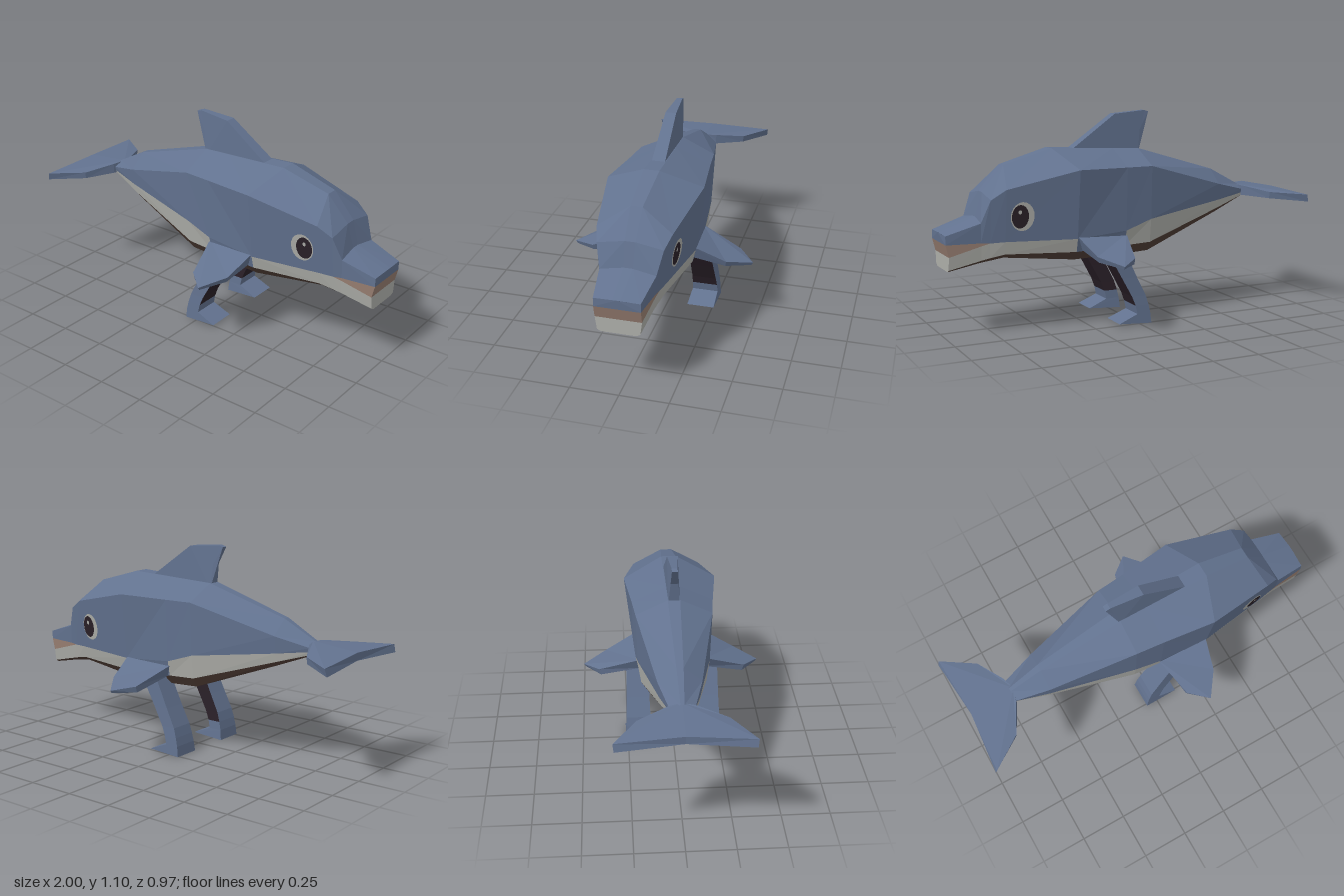
import * as THREE from 'three';

const mat = (name, color) => {
  const m = new THREE.MeshStandardMaterial({ color });
  m.name = name;
  return m;
};

// Flat-faced mesh from convex polygons; each face is turned away from its centre point
function facesMesh(name, material, faces) {
  const pos = [];
  for (const { pts, c } of faces) {
    const v = pts.map(p => new THREE.Vector3(...p));
    const centre = new THREE.Vector3(...c);
    for (let i = 1; i < v.length - 1; i++) {
      const [a, b, d] = [v[0], v[i], v[i + 1]];
      const n = b.clone().sub(a).cross(d.clone().sub(a));
      if (n.length() < 1e-7) continue;
      const out = n.dot(a.clone().add(b).add(d).divideScalar(3).sub(centre)) > 0;
      for (const p of out ? [a, b, d] : [a, d, b]) pos.push(p.x, p.y, p.z);
    }
  }
  const g = new THREE.BufferGeometry();
  g.setAttribute('position', new THREE.Float32BufferAttribute(pos, 3));
  g.computeVertexNormals();
  const mesh = new THREE.Mesh(g, material);
  mesh.name = name;
  return mesh;
}

const mean = pts => [0, 1, 2].map(k => pts.reduce((s, p) => s + p[k], 0) / pts.length);
const flip = (pts, s) => pts.map(([x, y, z]) => [x, y, z * s]);

// Closed solid between two matching outlines
function slab(name, material, a, b) {
  const c = mean([...a, ...b]);
  const faces = [{ pts: a, c }, { pts: b, c }];
  a.forEach((p, i) => {
    const j = (i + 1) % a.length;
    faces.push({ pts: [p, a[j], b[j], b[i]], c });
  });
  return facesMesh(name, material, faces);
}

// Half section of the body: ridge, shoulder, belt, lip, chine and belly, closed on the centre line
function section([x, ridgeX, ridgeY, shoulderY, shoulderZ, beltY, beltZ, lipDrop, chineY, bellyY]) {
  const jawX = x - lipDrop * .25;
  return [
    [ridgeX, ridgeY, 0], [ridgeX, ridgeY, shoulderZ * .16],
    [x, shoulderY, shoulderZ], [x, beltY, beltZ], [jawX, beltY - lipDrop, beltZ],
    [jawX, chineY, beltZ * .92], [jawX, bellyY, beltZ * .75], [jawX, bellyY, 0],
  ];
}

export function createModel() {
  const root = new THREE.Group();
  root.name = 'dolphinWithLegs';
  const blue = mat('slate blue skin', 0x62728f);
  const pale = mat('pale grey flank', 0xadaea9);
  const brown = mat('brown belly', 0x4f3d35);
  const dark = mat('dark plum', 0x2a2028);
  const mouth = mat('mouth pink brown', 0x967d70);

  // Body sections from tail to snout
  const rings = [
    [-.74, -.74, .67, .645, .06, .625, .055, 0, .61, .605],
    [-.56, -.56, .765, .69, .11, .6, .1, 0, .555, .535],
    [-.1, -.1, .9, .82, .2, .54, .19, 0, .415, .365],
    [.05, .05, .906, .821, .215, .49, .2, 0, .41, .36],
    [.33, .4, .92, .825, .25, .47, .21, 0, .4, .355],
    [.7, .66, .845, .74, .188, .475, .158, 0, .41, .39],
    [.775, .775, .715, .69, .165, .472, .143, 0, .395, .377],
    [.82, .81, .592, .575, .14, .475, .135, .015, .385, .37],
    [.995, 1, .525, .52, .115, .475, .115, .063, .345, .335],
  ].map(section);
  const strips = [blue, blue, blue, mouth, pale, brown, brown];
  const bucket = new Map([[blue, []], [pale, []], [brown, []], [mouth, []]]);
  for (const s of [1, -1]) {
    for (let i = 0; i < rings.length - 1; i++) {
      const a = flip(rings[i], s), b = flip(rings[i + 1], s);
      const c = mean([...a, ...b]);
      c[2] = 0;
      strips.forEach((m, k) => {
        const use = m === pale && i === 3 ? blue : m; // blue patch behind the flipper
        bucket.get(use).push({ pts: [a[k], a[k + 1], b[k + 1], b[k]], c });
      });
    }
    // Snout front, split at the lips
    const t = flip(rings[rings.length - 1], s), c = [.8, .45, 0];
    const mid = p => [p[0], p[1], 0];
    bucket.get(blue).push({ pts: [t[0], t[1], t[2], t[3], mid(t[3])], c });
    bucket.get(mouth).push({ pts: [mid(t[3]), t[3], t[4], mid(t[4])], c });
    bucket.get(pale).push({ pts: [mid(t[4]), t[4], t[5], t[6], t[7]], c });
  }
  root.add(facesMesh('bodySkin', blue, bucket.get(blue)));
  root.add(facesMesh('flankAndJaw', pale, bucket.get(pale)));
  root.add(facesMesh('belly', brown, bucket.get(brown)));
  root.add(facesMesh('mouth', mouth, bucket.get(mouth)));

  // Dorsal fin, tapering upward
  const fin = [[-.1, .87, .03], [.31, .89, .035], [.035, 1.085, .028], [-.145, 1.1, .015], [-.17, 1.092, .015], [-.115, 1, .025]];
  root.add(slab('dorsalFin', blue, fin, flip(fin, -1)));

  for (const s of [1, -1]) {
    const side = s > 0 ? 'Right' : 'Left';
    const add = (name, m, a, b) => root.add(slab(name + side, m, flip(a, s), flip(b, s)));

    // Tail fluke
    add('tailFluke', blue,
      [[-.72, .67, 0], [-.74, .665, .07], [-.82, .642, .22], [-.99, .632, .335], [-.97, .645, 0]],
      [[-.72, .612, 0], [-.74, .612, .07], [-.82, .607, .215], [-1, .592, .33], [-.97, .605, 0]]);

    // Flipper, sloping out and down
    add('flipper', blue,
      [[.04, .47, .18], [.33, .487, .19], [.29, .4, .36], [.2, .365, .485], [.1, .385, .4]],
      [[.06, .41, .17], [.3, .41, .18], [.28, .37, .355], [.2, .35, .475], [.1, .352, .39]]);

    // Leg: thigh, shin and foot; front and inner faces dark down to the ankle
    const leg = [
      [.09, .19, .41, .13, .25], [.015, .1, .25, .128, .252], [-.035, .045, .15, .125, .255],
      [-.05, .025, .1, .122, .258], [-.06, .015, .055, .12, .26], [-.066, .12, 0, .115, .262],
    ].map(([xb, xf, y, zi, zo], i) => {
      const yf = i === 5 ? .012 : y; // toe lifted slightly
      return flip([[xb, y, zi], [xf, yf, zi], [xf, yf, zo], [xb, y, zo]], s);
    });
    const skin = [], shade = [];
    for (let i = 0; i < 5; i++) {
      const a = leg[i], b = leg[i + 1], c = mean([...a, ...b]);
      for (let k = 0; k < 4; k++) {
        const j = (k + 1) % 4;
        (k < 2 && i < 3 ? shade : skin).push({ pts: [a[k], a[j], b[j], b[k]], c });
      }
    }
    root.add(facesMesh('leg' + side, blue, skin));
    root.add(facesMesh('legInner' + side, dark, shade));
    root.add(facesMesh('footSole' + side, brown, [{ pts: leg[5], c: [0, .5, .19 * s] }]));

    // Eye: thin ellipses lying on the flat cheek
    const disc = (name, m, cx, cy, rx, ry, lift) => {
      const pts = Array.from({ length: 20 }, (_, i) => {
        const t = i / 20 * Math.PI * 2;
        const x = cx + rx * Math.cos(t), y = cy + ry * Math.sin(t);
        return [x, y, s * (.25 - .1406 * (x - .33) + .113 * (y - .825) + lift)];
      });
      root.add(facesMesh(name + side, m, [{ pts, c: [cx, cy, 0] }]));
    };
    disc('eyeWhite', pale, .618, .602, .06, .074, .003);
    disc('pupil', dark, .63, .602, .043, .06, .005);
    disc('eyeGlint', pale, .632, .625, .009, .011, .007);
  }
  return root;
}
